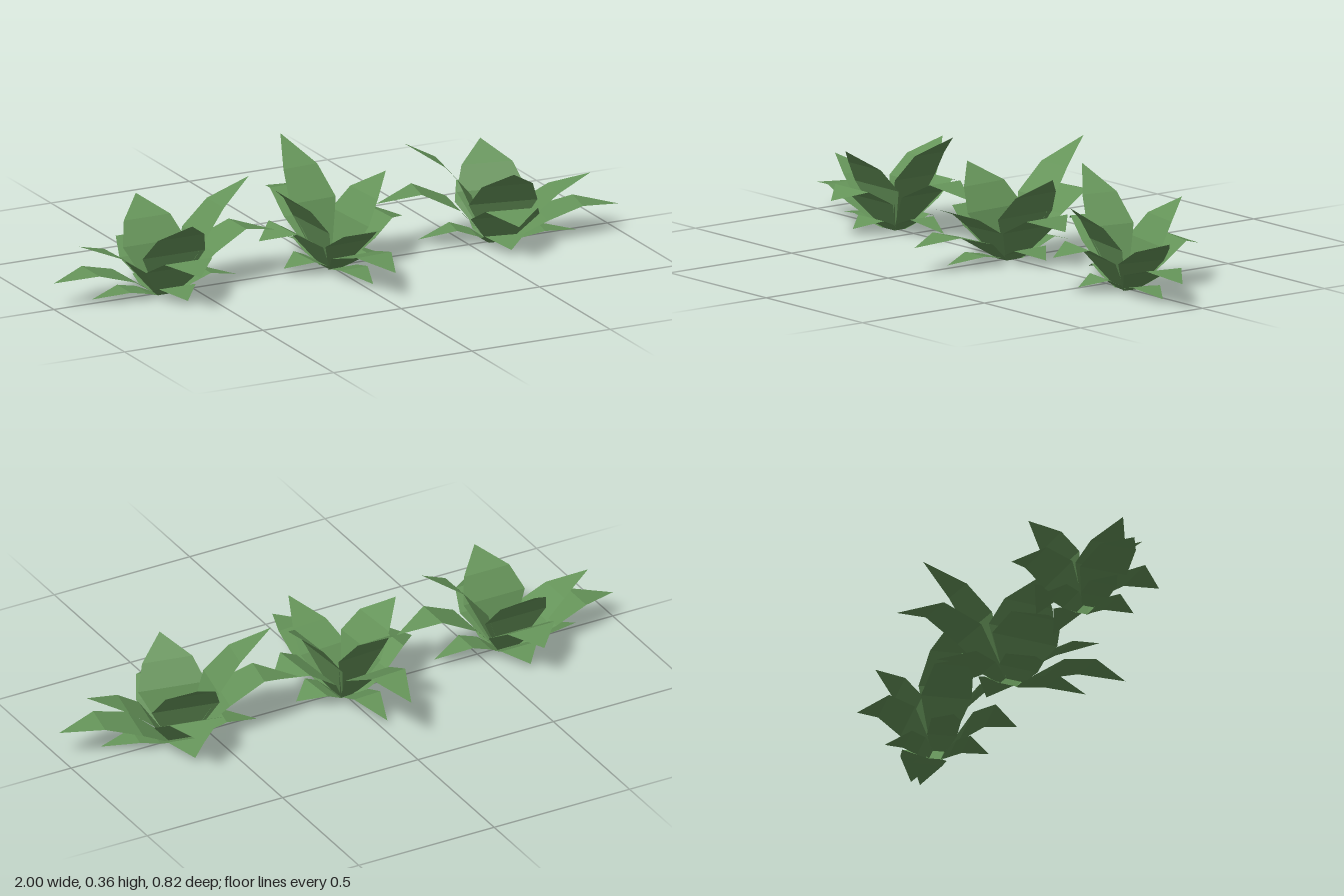
import * as THREE from 'three';

// Leaf templates: [outward, height, half width] from root to the last crease, then the tip
const LAYERS = {
  innerLeaf: [[0.03, 0, 0.025], [0.112, 0.192, 0.085], [0.192, 0.285, 0.063], [0.318, 0.362, 0]],
  middleLeaf: [[0.03, 0, 0.025], [0.15, 0.14, 0.085], [0.275, 0.2, 0.065], [0.413, 0.16, 0]],
  lowerLeaf: [[0.03, 0, 0.025], [0.08, 0.035, 0.05], [0.15, 0.06, 0.05], [0.27, 0.025, 0]],
};

// Four sides of a plant: turn, then stretch of length, height and width
const SIDES = [
  { turn: 0, length: 1, height: 1, width: 1 },
  { turn: Math.PI / 2, length: 0.65, height: 0.8, width: 1.38 },
  { turn: Math.PI, length: 1, height: 0.57, width: 1 },
  { turn: -Math.PI / 2, length: 0.65, height: 0.8, width: 1.38 },
];

// Folded leaf strip along +x, flat across its width, closing to a point
function leafGeometry(sections, { length, height, width }) {
  const positions = [];
  const index = [];
  sections.forEach(([r, y, w], i) => {
    positions.push(r * length, y * height, w * width, r * length, y * height, -w * width);
    if (i === 0) return;
    const a = (i - 1) * 2;
    index.push(a, a + 2, a + 1);
    if (w > 0) index.push(a + 1, a + 2, a + 3);
  });
  const geometry = new THREE.BufferGeometry();
  geometry.setAttribute('position', new THREE.Float32BufferAttribute(positions, 3));
  geometry.setIndex(index);
  const flat = geometry.toNonIndexed();
  flat.computeVertexNormals();
  return flat;
}

function createPlant(material) {
  const plant = new THREE.Group();
  for (const side of SIDES) {
    for (const [name, sections] of Object.entries(LAYERS)) {
      const leaf = new THREE.Mesh(leafGeometry(sections, side), material);
      leaf.name = name;
      leaf.rotation.y = side.turn;
      plant.add(leaf);
    }
  }
  return plant;
}

export function createModel() {
  const model = new THREE.Group();
  model.name = 'plantRow';
  const leafGreen = new THREE.MeshStandardMaterial({
    color: 0x659459, side: THREE.DoubleSide, flatShading: true,
  });
  leafGreen.name = 'leafGreen';

  // Three plants in a row, each turned differently
  const places = [
    ['rightPlant', -0.602, 0, 0.965],
    ['middlePlant', 0, 93.5, 1],
    ['leftPlant', 0.602, 168.5, 0.98],
  ];
  for (const [name, x, degrees, scale] of places) {
    const plant = createPlant(leafGreen);
    plant.name = name;
    plant.position.x = x;
    plant.rotation.y = THREE.MathUtils.degToRad(degrees);
    plant.scale.setScalar(scale);
    model.add(plant);
  }
  return model;
}
